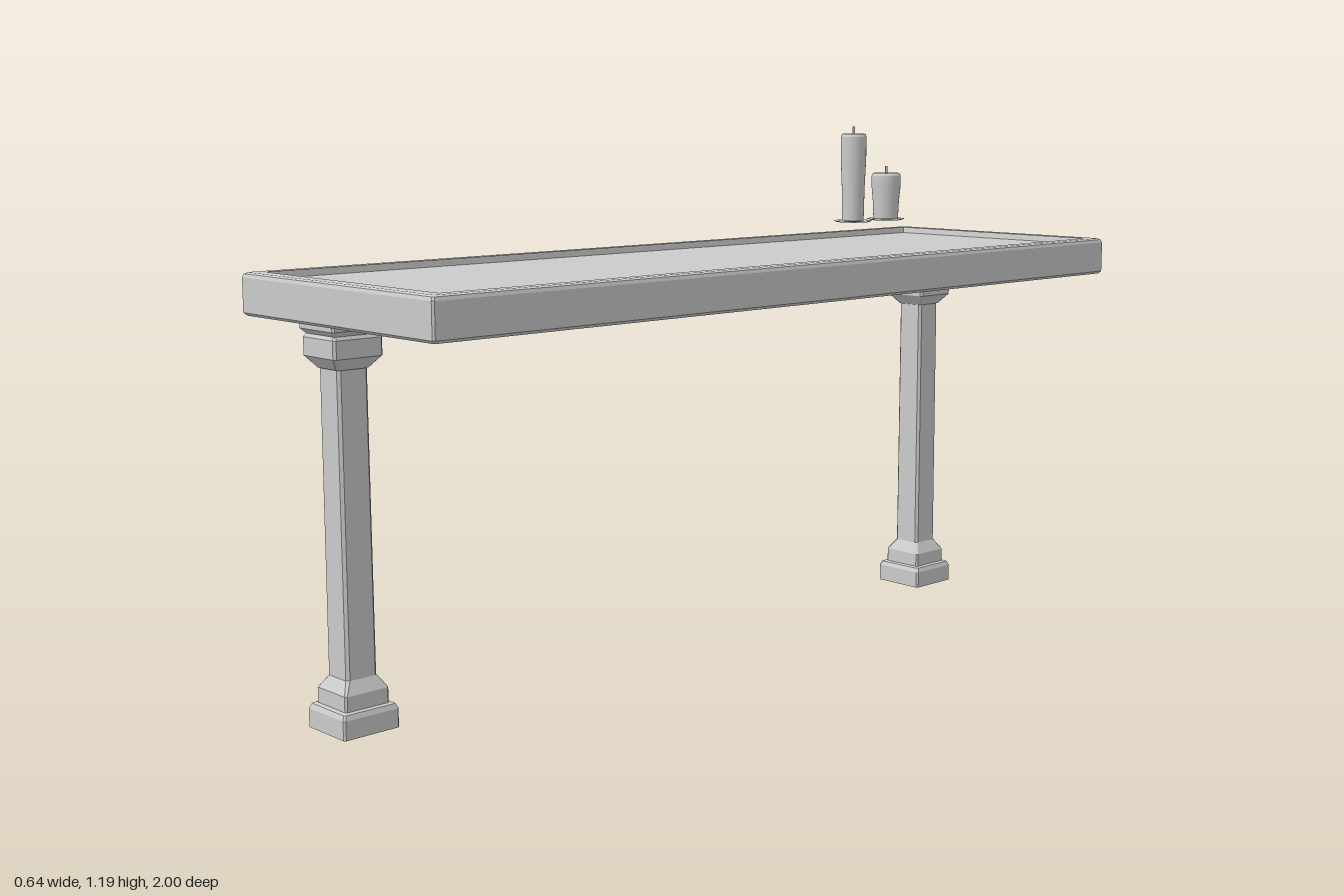
import * as THREE from 'three';

const grey = new THREE.MeshStandardMaterial({ color: 0xcccccc, flatShading: true });
const greyOpen = new THREE.MeshStandardMaterial({ color: 0xcccccc, flatShading: true, side: THREE.DoubleSide });
const wax = new THREE.MeshStandardMaterial({ color: 0xcccccc, side: THREE.DoubleSide });

// Corner points of a rectangle with cut corners, counter-clockwise from above
function ring([hx, y, hz, c]) {
  const points = [];
  for (const [sx, sz] of [[1, 1], [1, -1], [-1, -1], [-1, 1]]) {
    const a = [sx * (hx - c), y, sz * hz];
    const b = [sx * hx, y, sz * (hz - c)];
    points.push(...(sx * sz > 0 ? [a, b] : [b, a]));
  }
  return points;
}

// Skin through a stack of rectangles given as [halfX, y, halfZ, cornerCut]
function loft(sections) {
  const rings = sections.map(ring);
  const pos = [];
  for (let j = 0; j < rings.length - 1; j++) {
    const lo = rings[j], hi = rings[j + 1];
    for (let i = 0; i < 8; i++) {
      const k = (i + 1) % 8;
      pos.push(...lo[i], ...lo[k], ...hi[k], ...lo[i], ...hi[k], ...hi[i]);
    }
  }
  const g = new THREE.BufferGeometry();
  g.setAttribute('position', new THREE.Float32BufferAttribute(pos, 3));
  g.computeVertexNormals();
  return g;
}

function part(name, geometry, material, parent) {
  const mesh = new THREE.Mesh(geometry, material);
  mesh.name = name;
  parent.add(mesh);
  return mesh;
}

// Lathe with creases: each profile span is smooth around, sharp along
function turned(name, spans, parent) {
  const group = new THREE.Group();
  group.name = name;
  for (const span of spans) {
    const pts = span.map(([r, y]) => new THREE.Vector2(r, y));
    part(name + 'Surface', new THREE.LatheGeometry(pts, 24), wax, group);
  }
  parent.add(group);
}

function makeCandle(name, r, height) {
  const candle = new THREE.Group();
  candle.name = name;
  // Thin saucer
  turned('saucer', [[[0, 0], [0.04, 0], [0.047, 0.003]], [[0.047, 0.003], [0.04, 0.004], [0, 0.004]]], candle);
  // Wax body, slightly wider at the top, with a rounded rim and a shallow dip
  turned('waxBody', [
    [[r * 0.85, 0.003], [r * 0.9, height * 0.4], [r, height * 0.72], [r, height - 0.007]],
    [[r, height - 0.007], [r * 0.95, height - 0.002], [r * 0.85, height], [r * 0.7, height - 0.002], [r * 0.5, height - 0.006], [0, height - 0.007]],
  ], candle);
  // Wick
  const wick = part('wick', new THREE.CylinderGeometry(0.003, 0.003, 0.024, 8), wax, candle);
  wick.position.y = height + 0.005;
  return candle;
}

export function createModel() {
  const model = new THREE.Group();
  model.name = 'table';

  // Table top: bevelled slab with a raised rim around a sunken panel
  part('tableTop', loft([
    [0, 0.835, 0, 0],
    [0.314, 0.835, 0.994, 0.003],
    [0.32, 0.841, 1, 0.004],
    [0.32, 0.911, 1, 0.004],
    [0.317, 0.918, 0.997, 0.004],
    [0.311, 0.921, 0.991, 0.003],
    [0.289, 0.921, 0.964, 0],
    [0.286, 0.907, 0.961, 0],
    [0, 0.907, 0, 0],
  ]), grey, model);

  // Two pillars: stepped foot open below, square shaft, flared capital
  const profile = [
    [0.066, 0, 0.004], [0.066, 0.04, 0.004], [0.061, 0.05, 0.004],
    [0.052, 0.052, 0.004], [0.052, 0.084, 0.004], [0.036, 0.11, 0.006],
    [0.035, 0.735, 0.006], [0.038, 0.736, 0.006], [0.057, 0.76, 0.005],
    [0.057, 0.797, 0.005], [0.052, 0.804, 0.004], [0.055, 0.807, 0.004],
    [0.061, 0.814, 0.004], [0.061, 0.836, 0.004],
  ];
  const legGeometry = loft(profile.map(([h, y, c]) => [h, y, h, c]));
  for (const side of [1, -1]) {
    const leg = part(side > 0 ? 'frontLeg' : 'backLeg', legGeometry, greyOpen, model);
    leg.position.set(-0.158, 0, side * 0.875);
  }

  // Candles, hovering just above the panel
  const tall = makeCandle('tallCandle', 0.031, 0.214);
  tall.position.set(-0.12, 0.96, -0.575);
  const short = makeCandle('shortCandle', 0.036, 0.116);
  short.position.set(-0.12, 0.96, -0.697);
  model.add(tall, short);

  return model;
}
